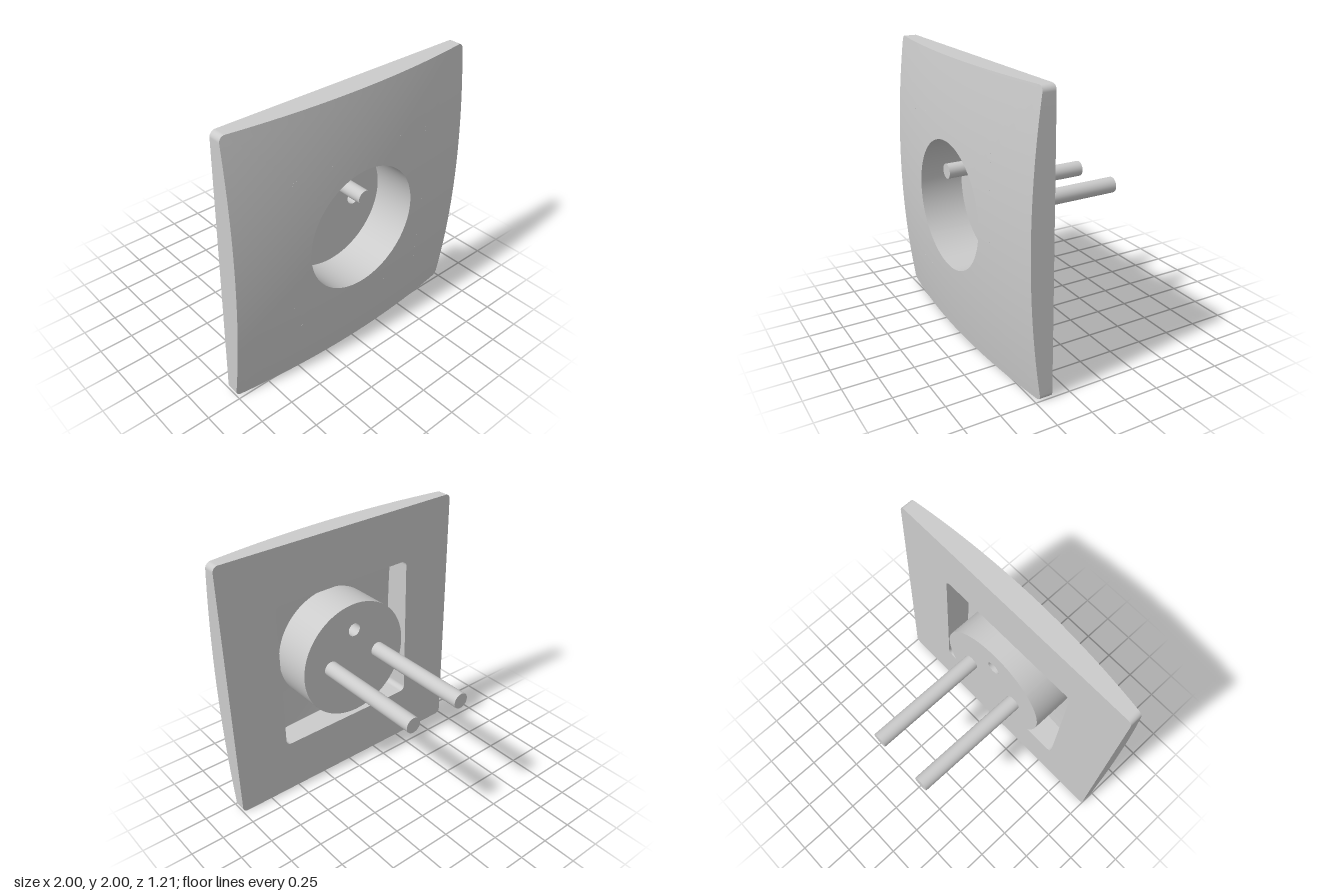
import * as THREE from 'three';

const material = new THREE.MeshStandardMaterial({ color: 0xcccccc, side: THREE.DoubleSide });
const BACK_Z = 0.38, FLOOR_Z = 0.28, PIN_END_Z = 0.605, CUP_RADIUS = 0.453;

// Height of the domed front at a point
const domeZ = (x, y) => 0.615 - 0.075 * (x * x + y * y);

// Counter-clockwise rounded square, with subdivided straight edges
function roundedSquare(half, radius, edgeSteps = 24, arcSteps = 6) {
  const points = [], c = half - radius;
  for (let side = 0; side < 4; side++) {
    const turn = side * Math.PI / 2, origin = new THREE.Vector2();
    for (let i = 0; i < edgeSteps; i++) {
      points.push(new THREE.Vector2(half, -c + 2 * c * i / edgeSteps).rotateAround(origin, turn));
    }
    for (let i = 0; i < arcSteps; i++) {
      const a = i / arcSteps * Math.PI / 2;
      points.push(new THREE.Vector2(c + radius * Math.cos(a), c + radius * Math.sin(a)).rotateAround(origin, turn));
    }
  }
  return points;
}

// Surface through a list of closed rings with equal point counts
function loft(rings) {
  const n = rings[0].length, index = [];
  for (let r = 0; r < rings.length - 1; r++) {
    for (let i = 0; i < n; i++) {
      const a = r * n + i, b = r * n + (i + 1) % n;
      index.push(a, a + n, b + n, a, b + n, b);
    }
  }
  const geometry = new THREE.BufferGeometry().setFromPoints(rings.flat());
  geometry.setIndex(index);
  geometry.computeVertexNormals();
  return geometry;
}

const atZ = (points, z) => points.map(p => new THREE.Vector3(p.x, p.y, z));
const onDome = points => points.map(p => new THREE.Vector3(p.x, p.y, domeZ(p.x, p.y)));

export function createModel() {
  const model = new THREE.Group();
  model.name = 'wallSocket';
  const body = new THREE.Group();
  body.name = 'socketBody';
  body.position.y = 1;
  model.add(body);

  const add = (name, geometry, parent = body) => {
    const mesh = new THREE.Mesh(geometry, material);
    mesh.name = name;
    parent.add(mesh);
    return mesh;
  };

  const outline = roundedSquare(1, 0.04);
  const opening = roundedSquare(0.58, 0.04);
  const rim = outline.map(p => p.clone().setLength(CUP_RADIUS));

  // Domed front, from the cup rim out to the plate edge
  const domeRings = [];
  for (let s = 0; s <= 12; s++) {
    domeRings.push(onDome(rim.map((p, i) => p.clone().lerp(outline[i], s / 12))));
  }
  add('domedFront', loft(domeRings));

  // Flat plate sides, back frame and the walls of its square opening
  add('plateSides', loft([onDome(outline), atZ(outline, BACK_Z)]));
  add('backFrame', loft([atZ(outline, BACK_Z), atZ(opening, BACK_Z)]));
  add('openingWalls', loft([atZ(opening, BACK_Z), onDome(opening)]));

  // Round plug recess with a pierced floor
  add('cupWall', loft([atZ(rim, FLOOR_Z), onDome(rim)]));
  const pins = [
    { name: 'leftContactTube', x: 0.215, y: 0, radius: 0.058, end: -PIN_END_Z },
    { name: 'rightContactTube', x: -0.215, y: 0, radius: 0.058, end: -PIN_END_Z },
    { name: 'earthPin', x: 0, y: 0.245, radius: 0.051, end: 0.6 },
  ];
  const floor = new THREE.Shape(rim);
  for (const { x, y, radius } of pins) {
    floor.holes.push(new THREE.Path().absarc(x, y, radius, 0, Math.PI * 2, true));
  }
  add('cupFloor', new THREE.ShapeGeometry(floor, 16)).position.z = FLOOR_Z;

  // Hollow tubes closed at the far end: contacts go back, the earth pin forward
  for (const { name, x, y, radius, end } of pins) {
    const pin = new THREE.Group();
    pin.name = name;
    pin.position.set(x, y, 0);
    body.add(pin);
    const tube = new THREE.CylinderGeometry(radius, radius, Math.abs(end - FLOOR_Z), 32, 1, true);
    tube.rotateX(Math.PI / 2);
    add(name + 'Wall', tube, pin).position.z = (end + FLOOR_Z) / 2;
    const cap = add(name + 'Cap', new THREE.CircleGeometry(radius, 32), pin);
    cap.position.z = end;
    if (end < FLOOR_Z) cap.rotation.y = Math.PI;
  }
  return model;
}
